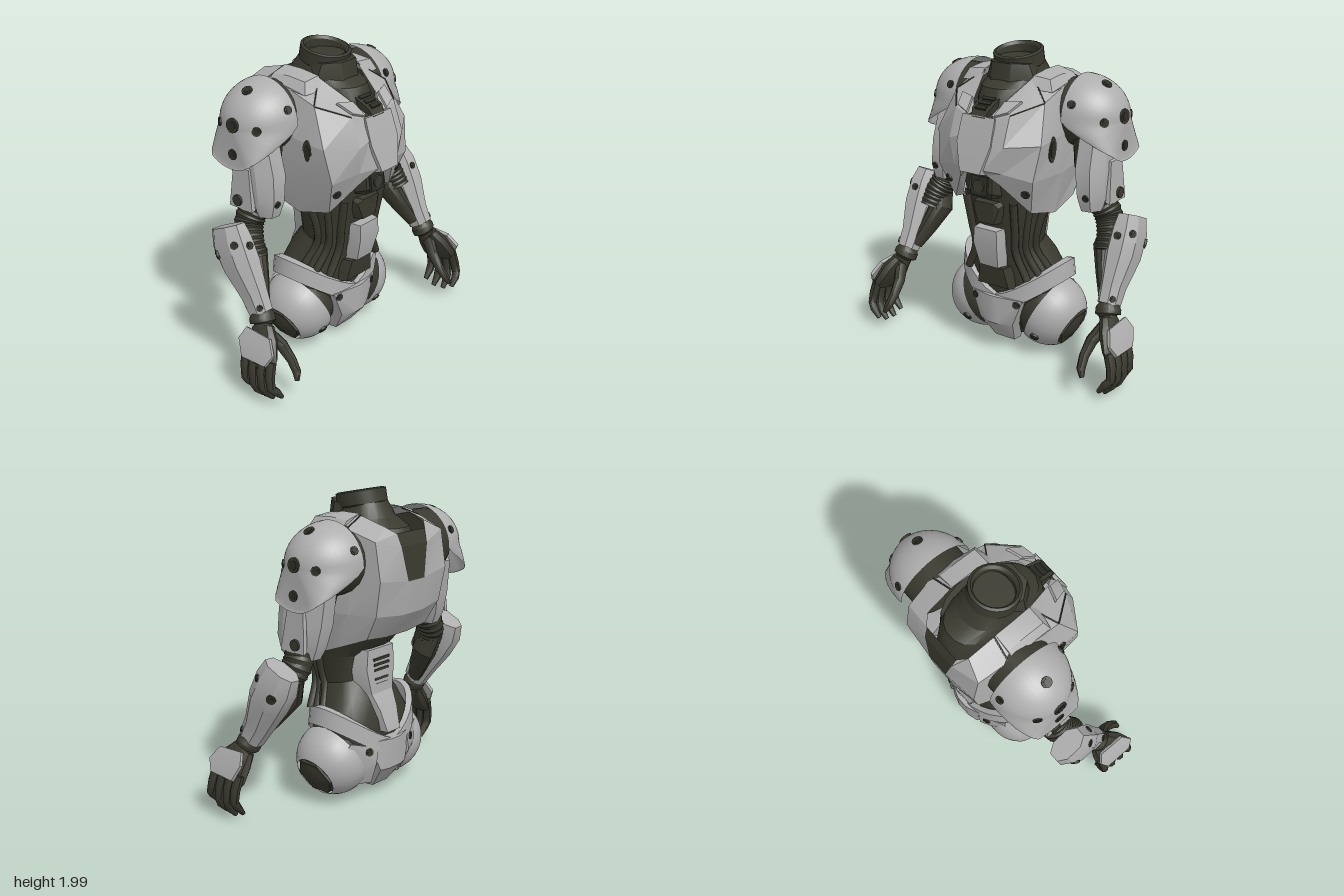
import * as THREE from 'three';
import { toCreasedNormals } from 'three/addons/utils/BufferGeometryUtils.js';
import { ConvexGeometry } from 'three/addons/geometries/ConvexGeometry.js';

const V = (x, y, z) => new THREE.Vector3(x, y, z);
const armor = new THREE.MeshStandardMaterial({ color: 0xaeaeae, side: THREE.DoubleSide });
armor.name = 'armor grey';
const frame = new THREE.MeshStandardMaterial({ color: 0x39392f });
frame.name = 'frame dark olive';
const black = new THREE.MeshStandardMaterial({ color: 0x2d2d27 });
black.name = 'recess black';

function add(group, name, geo, mat, crease = 0.5) {
  const mesh = new THREE.Mesh(toCreasedNormals(geo, crease), mat);
  mesh.name = name;
  group.add(mesh);
  return mesh;
}

// Surface through closed rings of equal length, with optional end caps
function skin(rings, caps = false, keep = () => true) {
  const n = rings[0].length, pts = rings.flat(), idx = [];
  for (let i = 0; i < rings.length - 1; i++) for (let j = 0; j < n; j++) {
    if (!keep(i, j)) continue;
    const a = i * n + j, b = i * n + (j + 1) % n;
    idx.push(a, a + n, b, b, a + n, b + n);
  }
  if (caps) [0, rings.length - 1].forEach((r, end) => {
    const c = pts.length;
    pts.push(rings[r].reduce((s, p) => s.add(p), V(0, 0, 0)).divideScalar(n));
    for (let j = 0; j < n; j++) {
      const a = r * n + j, b = r * n + (j + 1) % n;
      idx.push(c, end ? b : a, end ? a : b);
    }
  });
  const geo = new THREE.BufferGeometry().setFromPoints(pts);
  geo.setIndex(idx);
  return geo;
}

// Rounded limb along rows of [x, y, z, half width, half depth]
function loft(rows, sides = 8, power = 1) {
  const c = rows.map(r => V(r[0], r[1], r[2]));
  const bend = v => Math.sign(v) * Math.abs(v) ** power;
  return skin(rows.map((r, i) => {
    const t = c[Math.min(i + 1, c.length - 1)].clone().sub(c[Math.max(i - 1, 0)]).normalize();
    const side = V(1, 0, 0).addScaledVector(t, -t.x).normalize();
    const third = side.clone().cross(t);
    return Array.from({ length: sides }, (_, j) => {
      const f = (j + 0.5) / sides * Math.PI * 2;
      return c[i].clone().addScaledVector(side, r[3] * bend(Math.cos(f)))
        .addScaledVector(third, r[4] * bend(Math.sin(f)));
    });
  }), true);
}

const hull = pts => new ConvexGeometry(pts.map(p => V(...p)));
const symHull = pts => hull(pts.flatMap(([x, y, z]) => [[x, y, z], [-x, y, z]]));
const slab = (pts, d) => hull(pts.flatMap(p => [p, p.map((v, k) => v + d[k])]));
const box = (w, h, d, x, y, z, tilt = 0) =>
  new THREE.BoxGeometry(w, h, d).rotateX(tilt).translate(x, y, z);

// Round bolt seated where a ray meets the target
function bolt(group, target, from, dir, r = 0.026, stretch = 1) {
  const hit = new THREE.Raycaster(V(...from), V(...dir).normalize()).intersectObject(target)[0];
  if (!hit) return;
  const q = new THREE.Quaternion().setFromUnitVectors(V(0, 1, 0), hit.face.normal);
  [[r, 0.014, frame], [r * 0.65, 0.02, black]].forEach(([rad, h, mat]) => {
    const geo = new THREE.CylinderGeometry(rad, rad, h, 14).applyQuaternion(q).scale(1, stretch, 1);
    add(group, 'bolt', geo.translate(hit.point.x, hit.point.y, hit.point.z), mat);
  });
}

// Copy a group to the other side of x = 0
function mirror(group, name) {
  const out = new THREE.Group();
  out.name = name;
  group.children.forEach(m => {
    const geo = m.geometry.clone();
    for (const key of ['position', 'normal']) {
      const a = geo.attributes[key];
      for (let i = 0; i < a.count; i += 3) {
        const p = [0, 1, 2].map(k => [-a.getX(i + k), a.getY(i + k), a.getZ(i + k)]);
        p.reverse().forEach((v, k) => a.setXYZ(i + k, ...v));
      }
    }
    const copy = new THREE.Mesh(geo, m.material);
    copy.name = m.name;
    out.add(copy);
  });
  return out;
}

function buildTorso(g, half) {
  add(g, 'innerBody', loft([[0, .09, -.04, .12, .12], [0, .2, -.04, .22, .2], [0, .36, -.04, .33, .23], [0, .5, -.03, .35, .23],
    [0, .62, .0, .285, .21], [0, .75, .05, .215, .19], [0, .95, .07, .25, .21], [0, 1.1, .04, .29, .27],
    [0, 1.3, -.01, .31, .37], [0, 1.6, -.03, .28, .32]], 20, 0.8), frame);
  add(g, 'neckYoke', loft([[0, 1.55, -.06, .2, .37], [0, 1.7, -.06, .19, .345], [0, 1.77, -.06, .18, .31],
    [0, 1.82, -.06, .165, .2], [0, 1.92, -.06, .13, .13]], 20, .85), frame);

  // Chest shell: half rings from front to back, from the neck rim down
  const half3 = [
    [[.07, 1.64, .34], [.11, 1.7, .28], [.18, 1.83, .07], [.19, 1.85, -.08], [.19, 1.85, -.2], [.18, 1.8, -.38], [.13, 1.76, -.43]],
    [[.1, 1.62, .37], [.2, 1.65, .345], [.33, 1.71, .17], [.34, 1.79, -.06], [.34, 1.79, -.22], [.31, 1.73, -.42], [.12, 1.68, -.46]],
    [[.12, 1.5, .42], [.2, 1.47, .415], [.385, 1.48, .29], [.39, 1.5, .06], [.35, 1.5, -.25], [.31, 1.5, -.46], [.075, 1.47, -.48]],
    [[.08, 1.32, .46], [.18, 1.3, .4], [.355, 1.26, .33], [.385, 1.26, .06], [.36, 1.28, -.25], [.3, 1.28, -.42], [.1, 1.26, -.45]],
    [[.08, 1.28, .42], [.15, 1.22, .38], [.29, 1.03, .25], [.32, .98, .03], [.34, 1.05, -.15], [.28, 1.12, -.33], [.1, 1.1, -.33]]];
  const rings = half3.map(r => [...r.map(p => V(...p)), ...r.map(([x, y, z]) => V(-x, y, z)).reverse()]);
  rings.push(rings[4].map(p => V(p.x * .87, p.y + .03, p.z * .87)));
  const dark = (i, j) => (j === 6 && i < 2) || (j === 13 && i === 0);
  const shell = add(g, 'chestShell', skin(rings, false, (i, j) => !dark(i, j)), armor, 0.25);
  add(g, 'upperBackInset', skin(rings, false, dark), frame, 0.25);

  // Fine seams at the collar and shoulder strap
  [[[0, 4], [1, 4]], [[0, 2], [1, 2]], [[1, 1], [1, 2]]].forEach(pair => {
    const [a, b] = pair.map(([i, j]) => rings[i][j]);
    add(half, 'panelSeam', new THREE.TubeGeometry(new THREE.LineCurve3(a, b), 1, .005, 5), frame);
  });
  add(half, 'shoulderStrap', hull([[.18, 1.84, .07], [.3, 1.83, .07], [.335, 1.76, .1], [.2, 1.77, .13], [.19, 1.86, -.06], [.3, 1.84, -.06],
    [.34, 1.79, -.05], [.19, 1.86, -.19], [.3, 1.83, -.19], [.34, 1.79, -.19]]), armor);
  add(half, 'collarPlate', slab([[.1, 1.625, .36], [.185, 1.655, .335], [.22, 1.71, .24], [.12, 1.7, .275]], [0, .014, .012]), armor);
  bolt(half, shell, [.29, 1.17, 1], [0, 0, -1], .028);
  bolt(half, shell, [1, 1.43, .16], [-1, 0, 0], .036, 2.3);
  add(g, 'breastPlate', symHull([[.12, 1.63, .385], [.125, 1.47, .44], [.075, 1.3, .485], [.1, 1.62, .34], [.12, 1.47, .38], [.08, 1.28, .42]]), armor);

  // Neck and throat
  const profile = [[.12, -.2], [.14, -.16], [.145, -.09], [.157, -.08], [.157, 0], [.14, .008], [.125, -.01], [.12, -.06], [.09, -.08], [0, -.085]];
  add(g, 'neckCollar', new THREE.LatheGeometry(profile.map(p => new THREE.Vector2(...p)), 28).rotateX(.2).translate(0, 1.96, -.03), frame);
  add(g, 'throat', symHull([[.07, 1.91, .15], [.14, 1.9, .06], [.18, 1.79, .05], [.08, 1.8, .16], [.06, 1.73, .18], [.12, 1.73, .04], [.14, 1.9, -.05]]), frame);
  add(g, 'sternumBlock', symHull([[.07, 1.76, .17], [.065, 1.67, .36], [.05, 1.62, .39], [.06, 1.6, .3], [.06, 1.65, .15]]), frame);
  for (let i = 0; i < 4; i++) add(g, 'sternumRib', box(.1 - i * .008, .014, .028, 0, 1.731 - i * .019, .235 + i * .04, .45), black);

  // Abdomen
  add(g, 'buckleHousing', symHull([[.08, 1.27, .36], [.09, 1.15, .38], [.07, 1.11, .36], [.1, 1.25, .25], [.1, 1.1, .25]]), frame);
  add(g, 'buckleFrame', box(.12, .12, .03, 0, 1.19, .375, -.12), black);
  add(g, 'buckleButton', new THREE.CylinderGeometry(.04, .04, .03, 20).rotateX(Math.PI / 2).translate(0, 1.19, .385), frame);
  add(g, 'upperAbdomen', symHull([[.07, 1.07, .34], [.1, 1.04, .32], [.06, .93, .33], [.11, 1.08, .2], [.1, .92, .2]]), frame);
  add(g, 'bellyPlate', symHull([[.085, .89, .33], [.09, .79, .335], [.07, .63, .295], [.095, .89, .25], [.1, .78, .25], [.08, .62, .2]]), armor);
  add(g, 'lowerAbdomen', symHull([[.09, .62, .27], [.12, .48, .25], [.12, .62, .15], [.14, .46, .15]]), frame);
  [0, 1, 2].forEach(i => add(half, 'waistCable', new THREE.TubeGeometry(new THREE.CatmullRomCurve3([
    V(.3 - i * .06, 1.08, .08 + i * .1), V(.235 - i * .035, .86, .1 + i * .07),
    V(.215 - i * .03, .73, .08 + i * .07), V(.31 - i * .04, .55, .02 + i * .09)]), 14, .026, 7), frame, 1));

  // Spine plate with vents
  add(g, 'upperSpinePlate', symHull([[.12, .99, -.2], [.13, .86, -.2], [.1, .7, -.215], [.15, .99, -.1], [.16, .84, -.1], [.13, .7, -.1]]), armor);
  add(g, 'lowerSpinePlate', symHull([[.1, .7, -.215], [.08, .6, -.27], [.06, .46, -.315], [.13, .7, -.1], [.08, .46, -.2]]), armor);
  [.92, .885, .85, .79, .755, .72].forEach((y, i) => add(g, 'spineVent', box(.15 - i * .008, .016, .016, 0, y, -.204), frame));
}

function buildHips(g, half) {
  // Belt ring dipping at front and back
  const ring = (s, dy) => Array.from({ length: 32 }, (_, j) => {
    const f = j / 32 * Math.PI * 2, c = Math.cos(f);
    return V(.405 * s * c, .35 + .24 * Math.abs(c) ** 1.3 + dy, -.04 + .285 * s * Math.sin(f));
  });
  const belt = add(g, 'belt', skin([ring(1, -.055), ring(.97, .06), ring(.85, .06), ring(.88, -.055), ring(1, -.055)]), armor, .4);
  add(g, 'frontCrotchPlate', symHull([[.2, .4, .215], [.13, .22, .22], [.075, .06, .12], [.02, .41, .265], [.04, .22, .26],
    [.19, .4, .1], [.12, .2, .1], [.07, .05, .04]]), armor);
  add(g, 'rearCrotchPlate', symHull([[.2, .42, -.28], [.12, .22, -.31], [.07, .07, -.2], [.04, .42, -.34], [.05, .22, -.33],
    [.19, .42, -.15], [.12, .2, -.15], [.07, .06, -.1]]), armor);

  // Hip domes open outward and down for the leg sockets
  const place = geo => geo.rotateZ(-2.02).translate(.258, .28, -.03);
  const dome = add(half, 'hipDome', place(new THREE.SphereGeometry(.24, 28, 12, 0, Math.PI * 2, .64, 1.0)), armor, .6);
  add(half, 'hipBall', place(new THREE.SphereGeometry(.222, 24, 14)), frame, .6);
  add(half, 'legSocket', place(new THREE.CylinderGeometry(.135, .142, .03, 6).translate(0, .184, 0)), frame);
  const rear = add(half, 'rearHipPlate', hull([[.14, .38, -.31], [.31, .43, -.23], [.4, .32, -.19], [.33, .14, -.17], [.13, .12, -.24], [.16, .28, -.31],
    [.2, .38, -.15], [.36, .3, -.12], [.28, .12, -.1], [.14, .1, -.14]]), armor);
  bolt(half, belt, [.16, .37, 1], [0, 0, -1]);
  bolt(half, rear, [.2, .36, -1], [0, 0, 1]);
  bolt(half, dome, [.27, .16, 1], [0, 0, -1], .03);
  bolt(half, rear, [.27, .19, -1], [0, 0, 1], .03);
}

function buildArm(g) {
  // Shoulder pad: dome whose rim sweeps outward along the bottom
  add(g, 'shoulderJoint', new THREE.CylinderGeometry(.21, .21, .2, 20).rotateZ(Math.PI / 2).translate(.39, 1.6, -.15), frame);
  const padRings = Array.from({ length: 13 }, (_, i) => Array.from({ length: 40 }, (_, j) => {
    const t = (1 - i / 12) * Math.PI / 2, f = j / 40 * Math.PI * 2;
    const rimY = 1.595 + .25 * Math.cos(f);
    const rimX = Math.min(.715, Math.max(.4, .42 + (1.57 - rimY) * 1.75));
    return V(.7 + (rimX - .7) * (1 - Math.cos(t)), 1.595 + .25 * Math.cos(f) * Math.sin(t), -.155 - .26 * Math.sin(f) * Math.sin(t));
  }));
  const pad = add(g, 'shoulderPad', skin(padRings), armor, .6);
  [[1.8, -.14, .033], [1.62, -.14, .045], [1.6, 0, .028], [1.6, -.28, .028], [1.44, -.14, .033]]
    .forEach(([y, z, r]) => bolt(g, pad, [1.5, y, z], [-1, 0, 0], r));
  bolt(g, pad, [.455, 1.7, 1], [0, 0, -1]);
  bolt(g, pad, [.455, 1.7, -1], [0, 0, 1]);

  // Upper arm
  add(g, 'innerUpperArm', loft([[.52, 1.12, -.08, .07, .1], [.48, 1.3, -.1, .075, .12], [.455, 1.55, -.13, .075, .15]], 14), frame);
  const upper = add(g, 'upperArmShell', loft([[.57, 1.04, -.06, .075, .14], [.565, 1.13, -.065, .1, .175], [.55, 1.28, -.085, .115, .19],
    [.54, 1.5, -.13, .11, .17]], 8, .85), armor);
  add(g, 'upperArmPlate', slab([[.64, 1.36, -.05], [.64, 1.36, -.18], [.66, 1.1, -.2], [.66, 1.1, -.01]], [.028, -.01, 0]), armor);
  add(g, 'upperArmBolt', new THREE.CylinderGeometry(.035, .035, .02, 14).rotateZ(Math.PI / 2).translate(.688, 1.14, -.13), frame);
  bolt(g, upper, [.58, 1.14, 1], [0, 0, -1], .022);

  // Ribbed elbow
  const bend = new THREE.CatmullRomCurve3([V(.575, 1.12, -.07), V(.635, 1.0, -.09), V(.68, .9, -.05), V(.7, .8, 0)]);
  add(g, 'elbowSleeve', loft(bend.getPoints(22).map((c, i) => [c.x, c.y, c.z, i % 2 ? .08 : .088, i % 2 ? .093 : .1]), 16), frame);

  // Forearm
  add(g, 'innerForearm', loft([[.67, .93, -.09, .06, .08], [.65, .8, -.04, .075, .09], [.7, .66, .05, .05, .07], [.75, .55, .12, .04, .05]], 12), frame);
  const fore = add(g, 'forearmShell', loft([[.785, 1.01, -.12, .075, .125], [.793, .92, -.08, .095, .148], [.795, .79, -.005, .1, .137],
    [.79, .62, .09, .071, .1], [.795, .52, .15, .065, .085]], 8, .85), armor);
  bolt(g, fore, [.79, .94, 1], [0, 0, -1], .024);
  bolt(g, fore, [.84, .58, 1], [0, 0, -1], .02);
  bolt(g, fore, [1.5, .95, .01], [-1, 0, 0], .024);
  bolt(g, fore, [1.5, .85, -.12], [-1, 0, 0], .03);
  add(g, 'wrist', loft([[.795, .54, .14, .05, .06], [.8, .5, .16, .08, .078], [.805, .47, .175, .08, .078], [.81, .46, .18, .055, .055], [.83, .4, .2, .055, .06]], 14), frame);

  // Hand
  add(g, 'palm', loft([[.82, .45, .19, .05, .08], [.86, .38, .22, .06, .12], [.905, .29, .245, .05, .14], [.92, .26, .25, .04, .13]], 10), frame);
  add(g, 'handGuard', slab([[.885, .45, .13], [.885, .44, .32], [.925, .36, .38], [.955, .29, .34], [.955, .28, .15], [.925, .38, .1]], [.018, .012, 0]), armor);
  [[.14, .15, .04], [.205, .22, .012], [.275, .3, .02], [.345, .375, .06]].forEach(([z0, z1, tip]) =>
    add(g, 'finger', loft([[.915, .31, z0, .032, .034], [.942, .22, z0 + .01, .031, .034], [.948, .12 + tip * .5, (z0 + z1) / 2 + .01, .028, .03],
      [.92, .055 + tip, z1 + .01, .026, .028], [.875, tip, z1 + .01, .014, .016]], 8), frame, .8));
  add(g, 'thumb', loft([[.81, .41, .21, .04, .05], [.765, .33, .29, .037, .04], [.755, .25, .36, .03, .032],
    [.765, .19, .41, .027, .029], [.785, .145, .43, .014, .016]], 8), frame, .8);
}

export function createModel() {
  const model = new THREE.Group();
  model.name = 'armoredTorso';
  const group = name => {
    const g = new THREE.Group();
    g.name = name;
    model.add(g);
    return g;
  };
  const chestSide = group('leftChestDetails'), hip = group('leftHip'), arm = group('leftArm');
  buildTorso(group('torso'), chestSide);
  buildHips(group('pelvis'), hip);
  buildArm(arm);
  model.add(mirror(chestSide, 'rightChestDetails'), mirror(hip, 'rightHip'), mirror(arm, 'rightArm'));
  return model;
}
